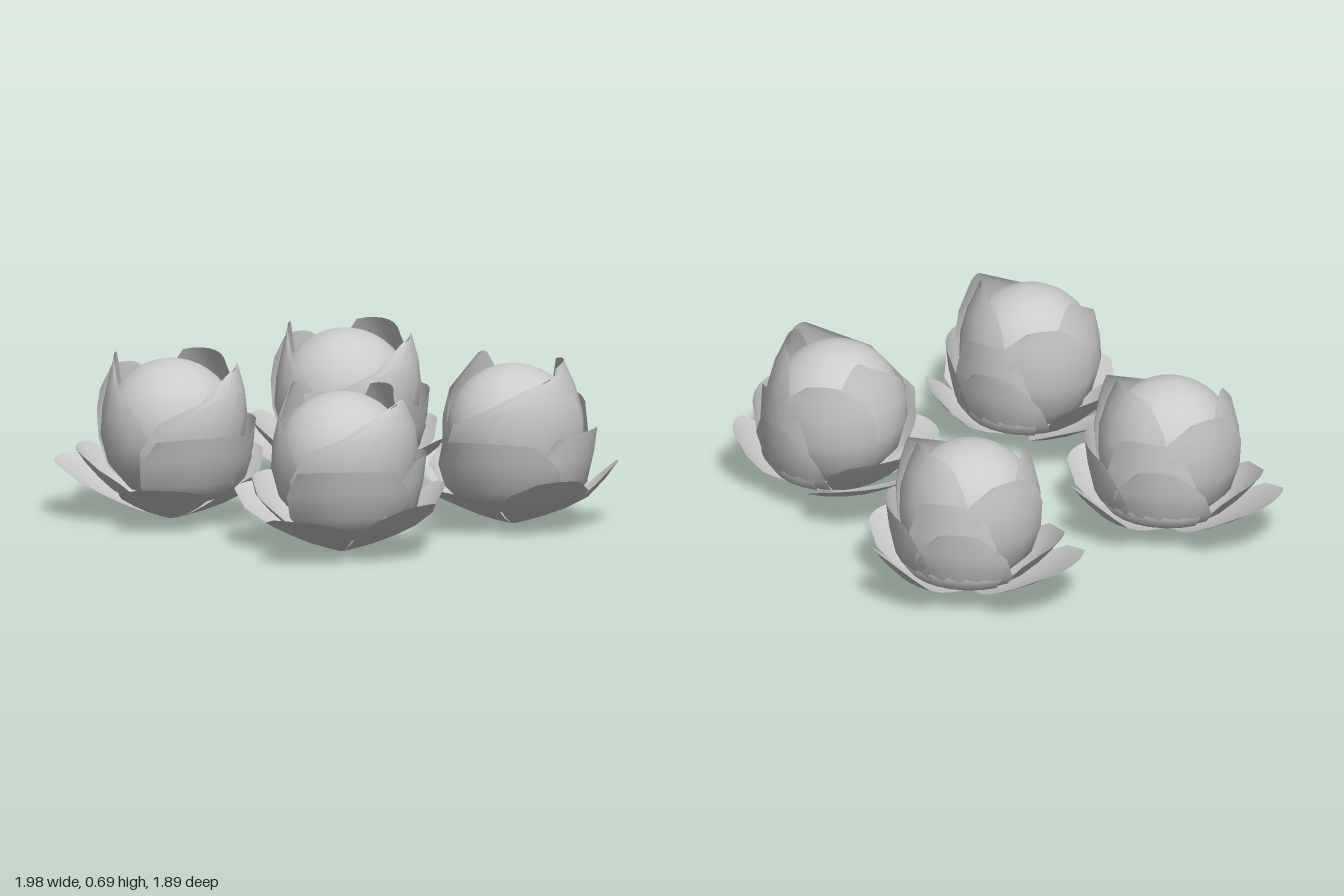
import * as THREE from 'three';

const leafMat = new THREE.MeshStandardMaterial({ color: 0xcccccc, side: THREE.DoubleSide });
const coreMat = new THREE.MeshStandardMaterial({ color: 0xcccccc });
const rad = THREE.MathUtils.degToRad;
const V = (r, y) => new THREE.Vector2(r, y);

// Relative leaf width from base to tip
const ROUND = [1, 1, 1, 1, 0.97, 0.78, 0.35];
const BLUNT = [1, 1, 1, 1, 1, 0.9, 0.62];
const POINTED = [1, 1, 1, 1, 0.9, 0.6, 0.12];

// A leaf is a wedge swept round the plant's axis: az = facing (degrees, from +x towards +z),
// half = half width (degrees), profile = (radius, height) from base to tip, lean = sideways tip shift
function leaf(name, profile, outline, az, half, lean = 0) {
  const rows = outline.length - 1, cols = 6;
  const curve = new THREE.SplineCurve(profile);
  const geo = new THREE.PlaneGeometry(1, 1, cols, rows);
  const pos = geo.attributes.position;
  for (let j = 0; j <= rows; j++) {
    const v = j / rows;
    for (let i = 0; i <= cols; i++) {
      const u = (i / cols) * 2 - 1;
      const a = rad(az + lean * v ** 3 + u * half * outline[j]);
      // The tip edge bows down slightly towards its corners
      const p = curve.getPoint(v * (1 - 0.04 * u * u * v));
      pos.setXYZ(j * (cols + 1) + i, p.x * Math.cos(a), p.y, p.x * Math.sin(a));
    }
  }
  geo.computeVertexNormals();
  const mesh = new THREE.Mesh(geo, leafMat);
  mesh.name = name;
  return mesh;
}

// Profiles for the rings of leaves
const low = (R, y) => [V(0.01, 0.005), V(0.15, 0.05), V(0.32, 0.13), V(R, y)];
const middle = (R, y) => [V(0.04, 0.05), V(0.2, 0.1), V(0.31, 0.19), V(R, y)];
const closed = (R, top) => [V(0.04, 0.1), V(0.2, 0.15), V(0.28, 0.28), V(0.295, 0.42), V(0.265, 0.56), V(R, top)];
const open = (R, top) => [V(0.04, 0.09), V(0.2, 0.14), V(0.285, 0.26), V(0.31, 0.42), V(0.305, 0.53), V(R, top)];

function plant(name) {
  const g = new THREE.Group();
  g.name = name;

  // Round heart
  const core = new THREE.Mesh(new THREE.SphereGeometry(0.272, 32, 20), coreMat);
  core.name = 'heart';
  core.position.y = 0.4;
  g.add(core);

  // Low spreading leaves: radius, tip height, facing, half width
  for (const [R, y, az, half] of [
    [0.495, 0.24, 152, 45], [0.46, 0.2, 50, 36], [0.455, 0.25, -24, 36], [0.435, 0.27, -84, 30],
  ]) g.add(leaf('outerLeaf', low(R, y), ROUND, az, half));

  // Cupped leaves in the middle ring
  g.add(
    leaf('middleFrontLeaf', middle(0.4, 0.3), ROUND, 127, 48, 22),
    leaf('middleSideLeaf', middle(0.375, 0.4), BLUNT, 12, 54, 8),
    leaf('middleCornerLeaf', middle(0.35, 0.42), ROUND, 222, 44),
    leaf('middleBackLeaf', middle(0.35, 0.42), BLUNT, -62, 52),
  );

  // Upright leaves wrapping the heart
  g.add(
    leaf('innerFrontLeaf', closed(0.24, 0.69), POINTED, 115, 60, 35),
    leaf('innerRearLeaf', closed(0.21, 0.69), BLUNT, 272, 58),
    leaf('innerSideLeaf', open(0.27, 0.66), POINTED, 8, 67, -48),
    leaf('innerCornerLeaf', open(0.3, 0.62), ROUND, 182, 42),
    leaf('innerBackLeaf', middle(0.305, 0.53), BLUNT, 232, 42),
  );
  return g;
}

export function createModel() {
  const model = new THREE.Group();
  model.name = 'plantPatch';
  // Four plants: x, z, turn in degrees
  [
    [-0.52, 0.48, 0], [-0.53, -0.52, 0], [0.51, 0.49, -20], [0.535, -0.46, -42],
  ].forEach(([x, z, turn], i) => {
    const p = plant('plant' + (i + 1));
    p.position.set(x, 0, z);
    p.rotation.y = rad(turn);
    model.add(p);
  });
  return model;
}
